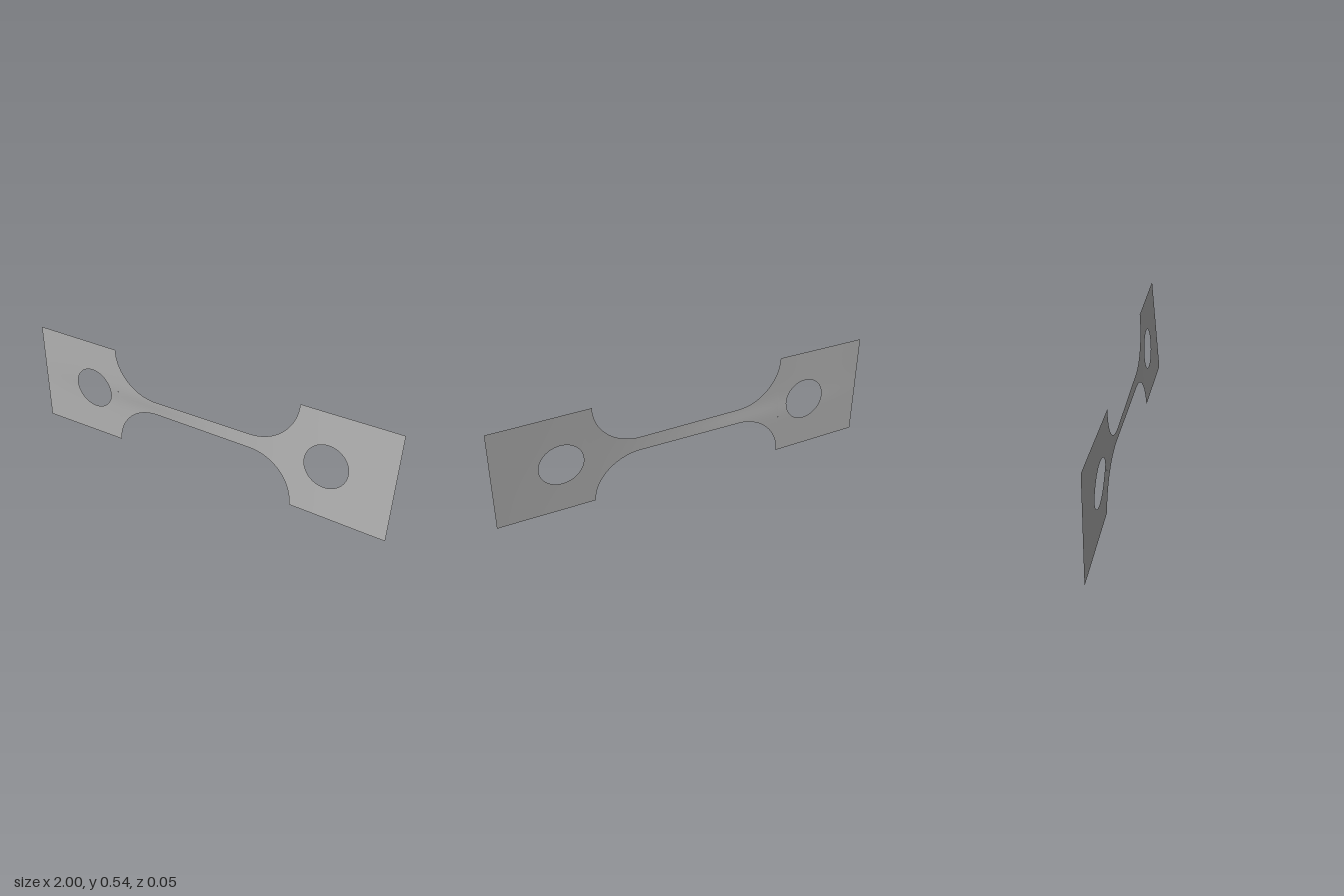
import * as THREE from 'three';

const MID = 0.272;      // half height of the grips
const GAUGE = 0.038;    // half height of the narrow bar
const GRIP_IN = 0.51;   // inner edge of a grip
const HOLE_X = 0.67;
const HOLE_R = 0.11;

const smooth = (x, a, b) => THREE.MathUtils.smoothstep(x, a, b);

// Slight warp of the sheet: right side twisted back, left side gently rippled
function warp(x, d) {
  const twist = 0.08 * smooth(x, 0.0, 0.55) + 0.018 * smooth(x, 0.5, 1.0);
  const ripple = 0.0045 * smooth(x, -1.1, -0.4) * (1 - smooth(x, -0.3, 0.15));
  return ripple * Math.tanh(d / 0.045) - twist * d;
}

// Maps a plane grid through fn(u, v) -> [x, offset from mid height], then warps it
function sheet(name, material, nu, nv, fn) {
  const geo = new THREE.PlaneGeometry(1, 1, nu, nv);
  const pos = geo.attributes.position;
  for (let i = 0; i < pos.count; i++) {
    const [x, d] = fn(pos.getX(i) + 0.5, pos.getY(i) + 0.5);
    pos.setXYZ(i, x, MID + d, warp(x, d));
  }
  geo.computeVertexNormals();
  const mesh = new THREE.Mesh(geo, material);
  mesh.name = name;
  return mesh;
}

// Narrow bar flaring through a quarter-round fillet at both ends
function neck(u, v) {
  const s = 2 * u - 1;
  const t = Math.abs(s);
  let x = 0.27 * t / 0.4;
  let h = GAUGE;
  if (t > 0.4) {
    const a = (t - 0.4) / 0.6 * Math.PI / 2;
    x = 0.27 + (GRIP_IN - 0.27) * Math.sin(a);
    h = GAUGE + (MID - GAUGE) * (1 - Math.cos(a));
  }
  return [Math.sign(s) * x, (2 * v - 1) * h];
}

// Rectangular grip as rings running from the round hole to the outer edge
function grip(side) {
  const [x0, x1] = side > 0 ? [GRIP_IN, 1] : [-1, -GRIP_IN];
  const cx = side * HOLE_X;
  const corners = [[x0, MID], [x1, MID], [x1, -MID], [x0, -MID], [x0, MID]];
  return (u, v) => {
    const p = Math.min(u * 4, 3.99999999);
    const k = Math.floor(p);
    const f = p - k;
    const ex = THREE.MathUtils.lerp(corners[k][0], corners[k + 1][0], f);
    const ey = THREE.MathUtils.lerp(corners[k][1], corners[k + 1][1], f);
    const a = Math.atan2(ey, ex - cx);
    return [
      THREE.MathUtils.lerp(cx + HOLE_R * Math.cos(a), ex, v),
      THREE.MathUtils.lerp(HOLE_R * Math.sin(a), ey, v),
    ];
  };
}

export function createModel() {
  const metal = new THREE.MeshStandardMaterial({ color: 0xb0b0b0, side: THREE.DoubleSide });
  metal.name = 'grey metal';

  const model = new THREE.Group();
  model.name = 'tensileSpecimen';
  model.add(
    sheet('neck', metal, 120, 12, neck),
    sheet('leftGrip', metal, 96, 10, grip(1)),
    sheet('rightGrip', metal, 96, 10, grip(-1)),
  );
  return model;
}
